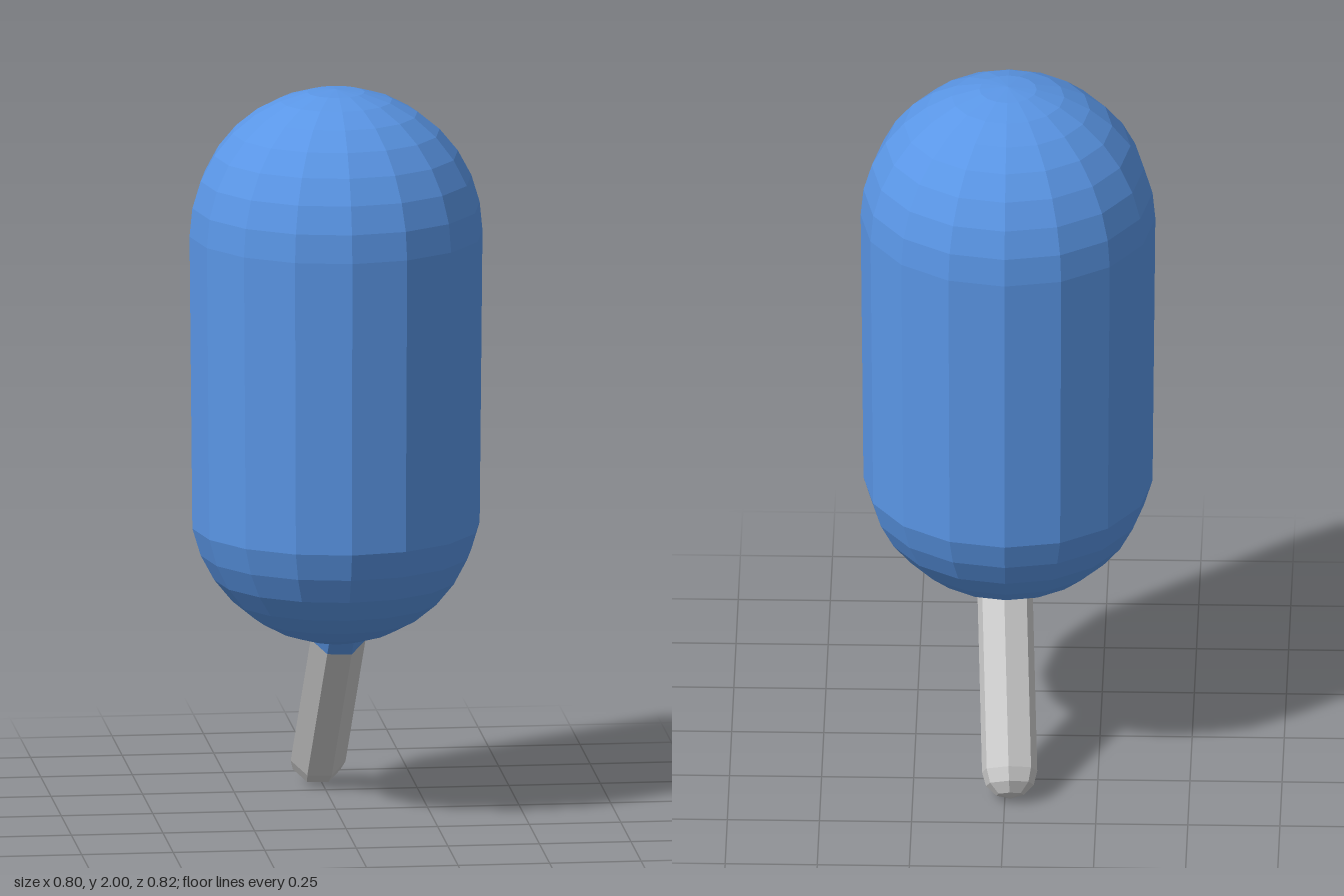
import * as THREE from 'three';

// Faceted surface of revolution from [radius, height] pairs, bottom to top
function revolve(name, profile, sides, material, start = 0) {
  const points = profile.map(([r, y]) => new THREE.Vector2(r, y));
  const mesh = new THREE.Mesh(new THREE.LatheGeometry(points, sides, start), material);
  mesh.name = name;
  return mesh;
}

export function createModel() {
  const model = new THREE.Group();
  model.name = 'capsuleOnStick';
  const blue = new THREE.MeshStandardMaterial({ color: 0x5a96e6, flatShading: true });
  const grey = new THREE.MeshStandardMaterial({ color: 0xcccccc, flatShading: true });

  // Body: a sphere whose rings below the equator are pulled down
  const R = 0.4;
  const bodyProfile = [];
  for (let i = 0; i <= 16; i++) {
    const a = -Math.PI / 2 + (i * Math.PI) / 16;
    const r = i % 16 === 0 ? 0 : R * Math.cos(a);
    bodyProfile.push([r, R * Math.sin(a) + (i < 8 ? 0.867 : 1.6)]);
  }
  const body = revolve('body', bodyProfile, 16, blue);
  body.position.z = 0.003;
  model.add(body);

  // Stick: seven-sided, leaning back, with a rounded tip
  const tip = new THREE.Vector3(-0.012, 0.074, -0.34);
  const top = new THREE.Vector3(0.008, 0.477, -0.03);
  const axis = top.clone().sub(tip);
  const length = axis.length();
  const r = 0.077;
  const stickProfile = [[0, -r]];
  for (const deg of [60, 30, 0]) {
    const a = THREE.MathUtils.degToRad(deg);
    stickProfile.push([r * Math.cos(a), -r * Math.sin(a)]);
  }
  stickProfile.push([r, length]);

  const stick = new THREE.Group();
  stick.name = 'stick';
  stick.add(revolve('shaft', stickProfile, 7, grey, Math.PI));
  // Blue root that runs into the body
  stick.add(revolve('root', [[r, length], [r, length + 0.08], [0, length + 0.08]], 7, blue, Math.PI));
  stick.position.copy(tip);
  stick.quaternion.setFromUnitVectors(new THREE.Vector3(0, 1, 0), axis.normalize());
  model.add(stick);

  return model;
}
